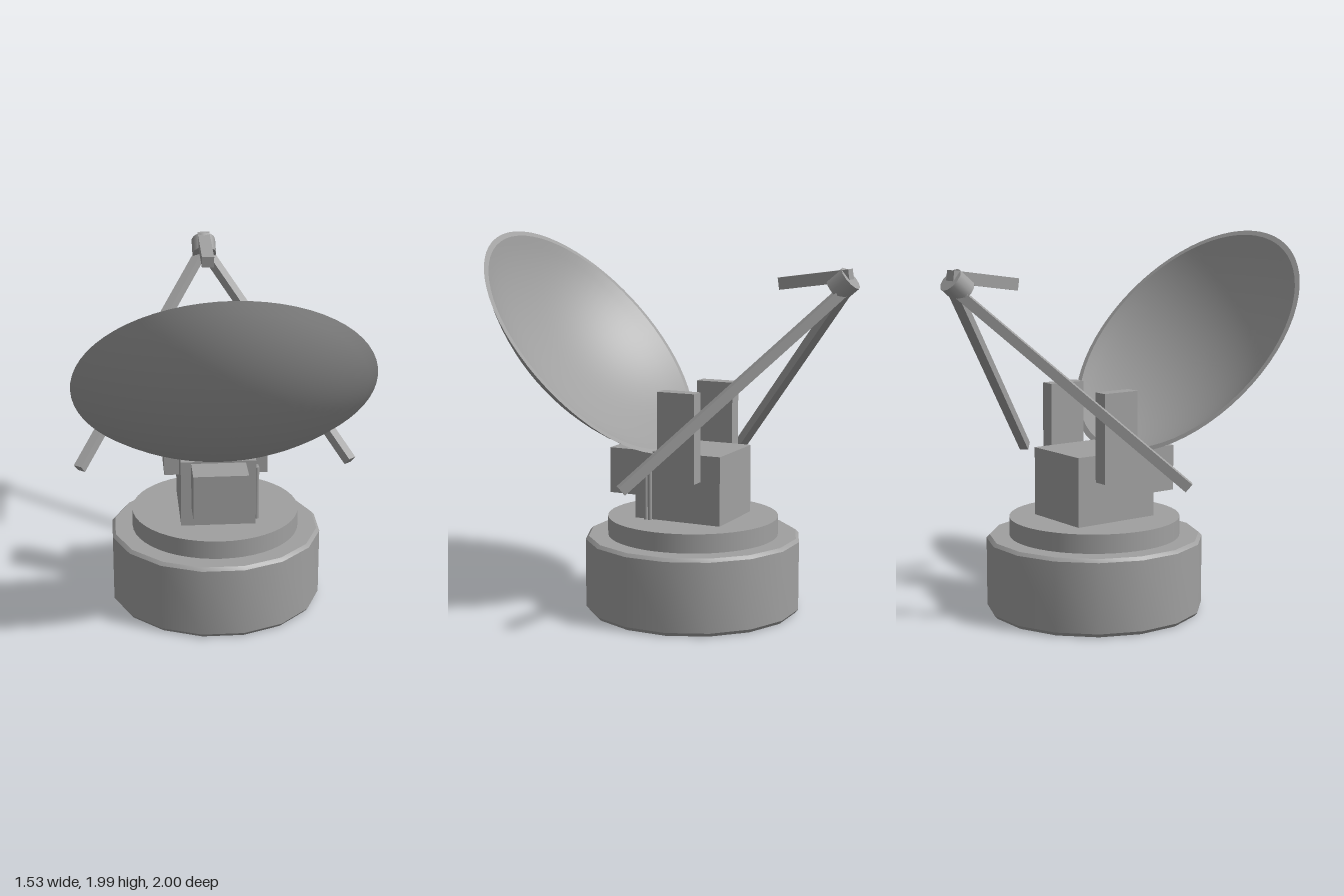
import * as THREE from 'three';
import { toCreasedNormals } from 'three/addons/utils/BufferGeometryUtils.js';

export function createModel() {
  const group = new THREE.Group();
  const grey = new THREE.MeshStandardMaterial({ color: 0xa0a0a0 });
  grey.name = 'grey';

  const add = (name, geometry, x = 0, y = 0, z = 0) => {
    const mesh = new THREE.Mesh(geometry, grey);
    mesh.name = name;
    mesh.position.set(x, y, z);
    group.add(mesh);
    return mesh;
  };
  // Box given by its limits on each axis
  const block = (name, x0, x1, y0, y1, z0, z1) =>
    add(name, new THREE.BoxGeometry(x1 - x0, y1 - y0, z1 - z0),
      (x0 + x1) / 2, (y0 + y1) / 2, (z0 + z1) / 2);
  // Rectangular bar between two points
  const beam = (name, from, to, width, height) => {
    const a = new THREE.Vector3(...from), b = new THREE.Vector3(...to);
    const mid = a.clone().add(b).multiplyScalar(0.5);
    add(name, new THREE.BoxGeometry(width, height, a.distanceTo(b)), mid.x, mid.y, mid.z).lookAt(b);
  };
  const lathe = (points, sides, start = 0, crease = 0.5) => toCreasedNormals(
    new THREE.LatheGeometry(points.map(p => new THREE.Vector2(...p)), sides, start), crease);

  // Sixteen-sided bevelled base and round turntable
  const baseZ = -0.088;
  add('base', lathe([[0, 0], [0.56, 0], [0.577, 0.02], [0.577, 0.388], [0.56, 0.405], [0, 0.405]],
    16, Math.PI / 16), 0, 0, baseZ);
  add('turntable', new THREE.CylinderGeometry(0.455, 0.455, 0.105, 48), 0, 0.4525, baseZ);

  // Pedestal with front housing, side brackets and cables
  block('pedestal', -0.2, 0.2, 0.5, 0.87, -0.335, 0.155);
  block('frontHousing', -0.145, 0.145, 0.615, 0.86, 0.15, 0.335);
  block('leftBracket', 0.2, 0.28, 0.73, 1.2, -0.225, -0.015);
  block('rightBracket', -0.28, -0.2, 0.73, 1.2, -0.225, -0.015);
  for (const z of [0.063, 0.086]) {
    add('cable', new THREE.CylinderGeometry(0.012, 0.012, 0.3, 8), 0.212, 0.655, z);
  }

  // Dish: spherical cap with a narrow flat rim and a concave inside
  const tilt = -0.871;
  const cap = (radius, depth, t) => {
    const R = (radius * radius + depth * depth) / (2 * depth);
    const r = radius * t;
    return [r, R - depth - Math.sqrt(R * R - r * r)];
  };
  const profile = [];
  const steps = 16;
  for (let i = 0; i <= steps; i++) profile.push(cap(0.755, 0.26, i / steps));
  for (let i = steps; i >= 0; i--) profile.push(cap(0.725, 0.235, i / steps));
  add('dish', lathe(profile, 64), 0, 1.415, 0.515).rotation.x = tilt;

  // Receiver hub and its three arms
  add('receiverHub', new THREE.CylinderGeometry(0.068, 0.068, 0.1, 12), 0, 1.76, -0.915).rotation.x = tilt;
  for (const side of [-1, 1]) {
    beam('supportArm', [side * 0.735, 0.77, -0.045], [side * 0.02, 1.722, -0.914], 0.05, 0.05);
  }
  beam('feedArm', [0, 1.756, -0.58], [0, 1.808, -0.955], 0.068, 0.062);

  return group;
}
